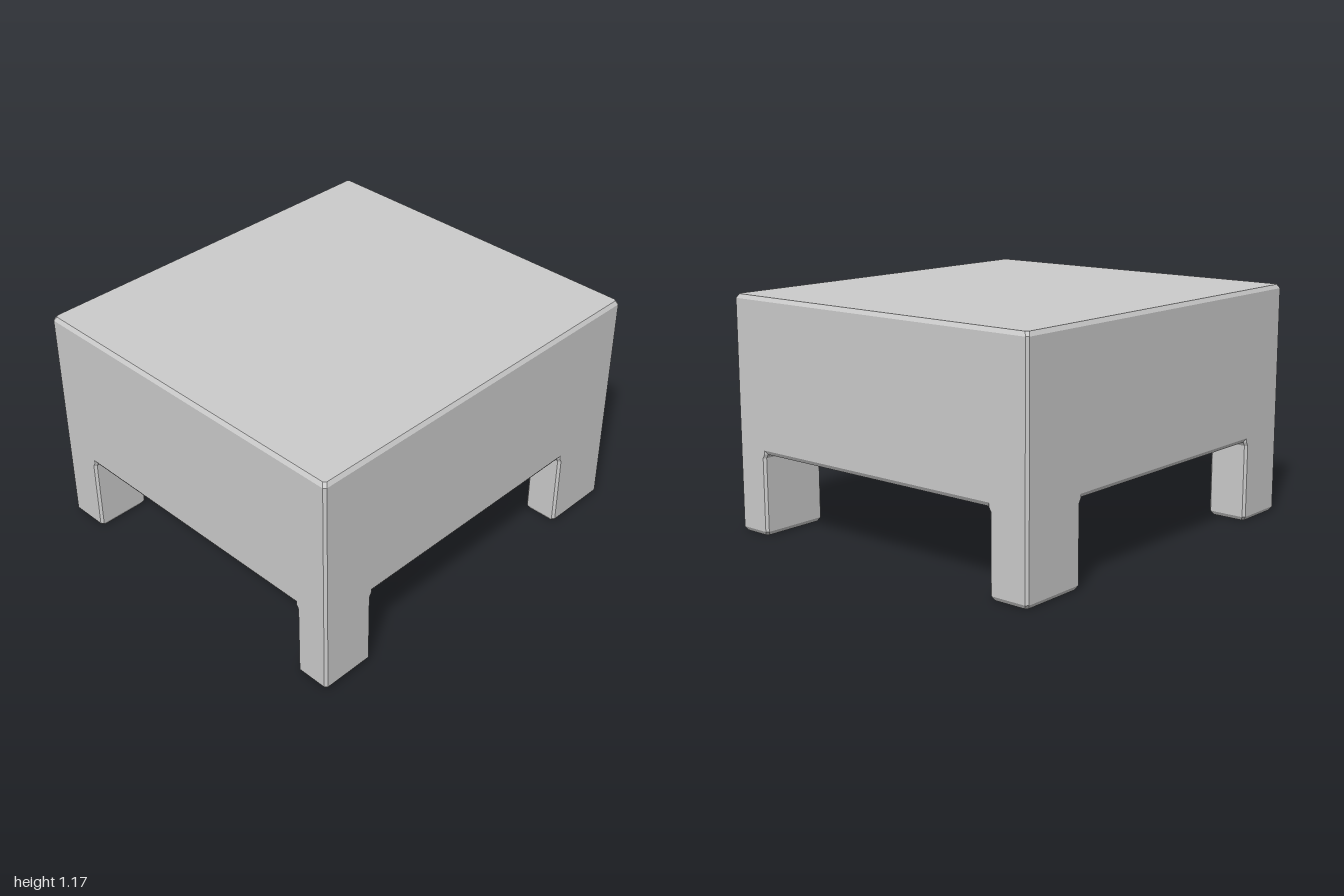
import * as THREE from 'three';

const BEVEL = 0.012;            // sideways width of the chamfers
const RISE = 0.02;              // height of the chamfers
const HX = 1, HZ = 0.91;        // half width and half depth
const UNDER = 0.41, TOP = 1.175;

// Rectangle with clipped corners at height y, counter-clockwise seen from above
function ring(x0, x1, z0, z1, y, c = BEVEL) {
  return [
    [x0 + c, z1], [x1 - c, z1], [x1, z1 - c], [x1, z0 + c],
    [x1 - c, z0], [x0 + c, z0], [x0, z0 + c], [x0, z1 - c],
  ].map(([x, z]) => new THREE.Vector3(x, y, z));
}

// Closed solid through a stack of rings, bottom to top
function loft(rings) {
  const points = [];
  const n = rings[0].length;
  for (let r = 0; r < rings.length - 1; r++) {
    const a = rings[r], b = rings[r + 1];
    for (let i = 0; i < n; i++) {
      const j = (i + 1) % n;
      points.push(a[i], a[j], b[j], a[i], b[j], b[i]);
    }
  }
  const bottom = rings[0], top = rings[rings.length - 1];
  for (let i = 1; i < n - 1; i++) {
    points.push(bottom[0], bottom[i + 1], bottom[i], top[0], top[i], top[i + 1]);
  }
  const geometry = new THREE.BufferGeometry().setFromPoints(points);
  geometry.computeVertexNormals();
  return geometry;
}

export function createModel() {
  const group = new THREE.Group();
  const material = new THREE.MeshStandardMaterial({ color: 0xcccccc, flatShading: true });
  const add = (name, rings) => {
    const mesh = new THREE.Mesh(loft(rings), material);
    mesh.name = name;
    group.add(mesh);
  };

  // Solid block with chamfered edges
  const block = (y, inset) => ring(-HX + inset, HX - inset, -HZ + inset, HZ - inset, y);
  add('body', [
    block(UNDER, BEVEL), block(UNDER + RISE, 0), block(TOP - RISE, 0), block(TOP, BEVEL),
  ]);

  // Corner legs: the +x pair is wider, the back pair slightly deeper
  for (const [xName, sx, width] of [['Left', 1, 0.36], ['Right', -1, 0.285]]) {
    for (const [zName, sz, depth] of [['front', 1, 0.18], ['back', -1, 0.21]]) {
      // outer: inset of the outside faces, inner: inset of the inside faces
      const section = (y, outer, inner) => {
        const xs = [sx * (HX - outer), sx * (HX - width + inner)].sort((a, b) => a - b);
        const zs = [sz * (HZ - outer), sz * (HZ - depth + inner)].sort((a, b) => a - b);
        return ring(xs[0], xs[1], zs[0], zs[1], y);
      };
      add(`${zName}${xName}Leg`, [
        section(0, BEVEL, BEVEL),
        section(RISE, 0, 0),
        section(UNDER - RISE, 0, 0),
        section(UNDER, 0, -BEVEL), // flare where the leg meets the underside
        section(UNDER + RISE, 0, -BEVEL),
      ]);
    }
  }
  return group;
}
